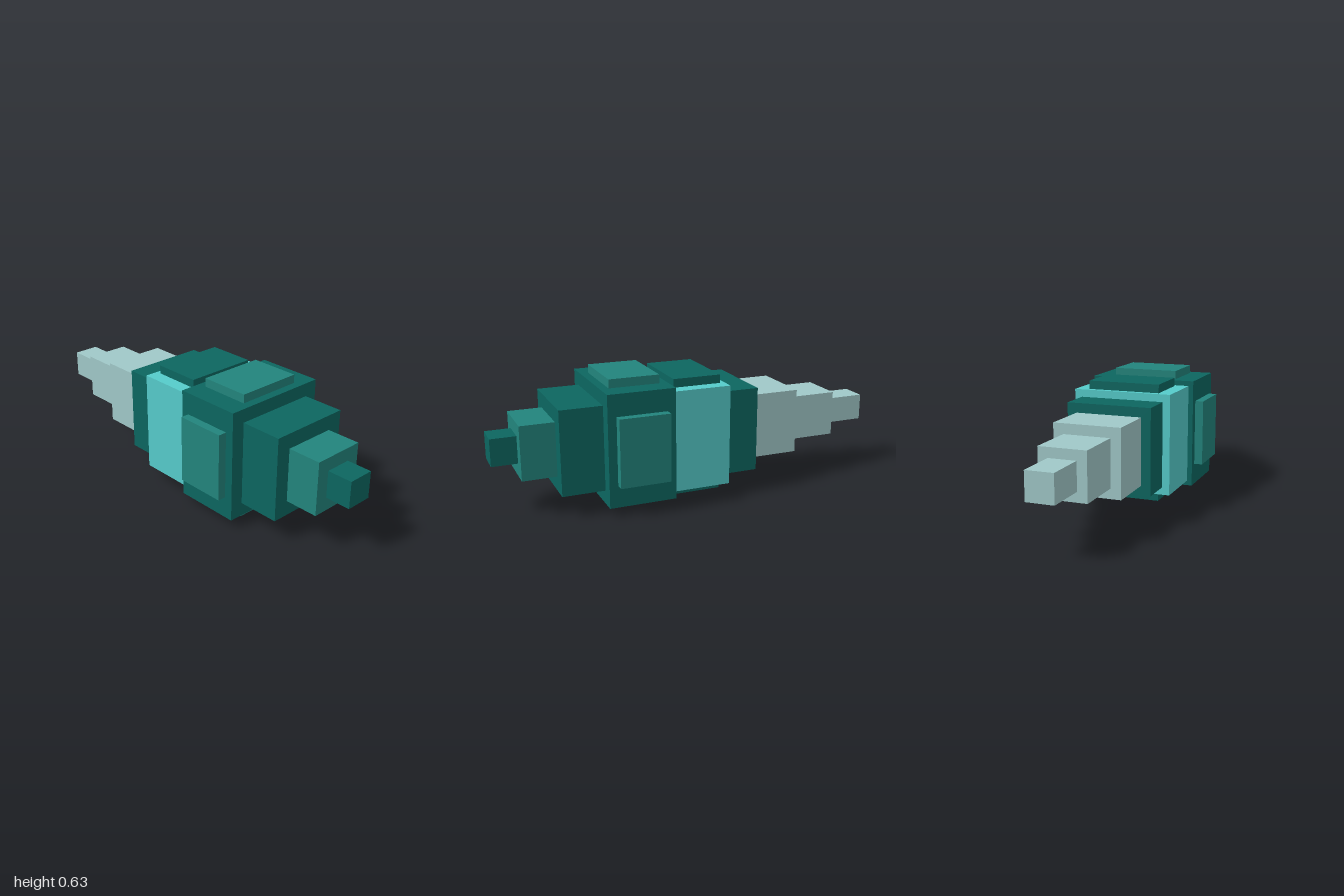
import * as THREE from 'three';

const material = (name, color) => Object.assign(new THREE.MeshStandardMaterial({ color }), { name });

export function createModel() {
  const dark = material('dark teal', 0x0c6660);
  const mid = material('mid teal', 0x22847c);
  const bright = material('bright turquoise', 0x55cbca);
  const pale = material('pale aqua', 0xa0c8c8);

  const model = new THREE.Group();
  model.name = 'steppedBody';
  const centerY = 0.3175;

  // Box given by half sizes in x and y, a z range, and an offset from the axis
  function block(name, mat, hx, hy, zBack, zFront, x = 0, y = 0) {
    const mesh = new THREE.Mesh(new THREE.BoxGeometry(hx * 2, hy * 2, zFront - zBack), mat);
    mesh.name = name;
    mesh.position.set(x, centerY + y, (zBack + zFront) / 2);
    model.add(mesh);
  }

  // Square segments along the body, from nose to tail tip
  const segments = [
    ['noseTip', dark, 0.067, 0.875, 1],
    ['snout', mid, 0.133, 0.708, 0.875],
    ['head', dark, 0.208, 0.5, 0.708],
    ['chest', dark, 0.275, 0.167, 0.5],
    ['waistBand', bright, 0.25, -0.125, 0.167],
    ['hip', dark, 0.2125, -0.292, -0.125],
    ['tailBase', pale, 0.165, -0.542, -0.292],
    ['tailMiddle', pale, 0.115, -0.792, -0.542],
    ['tailTip', pale, 0.067, -1, -0.792],
  ];
  for (const [name, mat, half, zBack, zFront] of segments) block(name, mat, half, half, zBack, zFront);

  // Raised plates: four around the chest, two on the waist band
  for (const s of [1, -1]) {
    block(s > 0 ? 'chestPlateTop' : 'chestPlateBottom', mid, 0.167, 0.0263, 0.208, 0.458, 0, s * 0.2912);
    block(s > 0 ? 'chestPlateLeft' : 'chestPlateRight', mid, 0.0263, 0.167, 0.208, 0.458, s * 0.2912, 0);
    block(s > 0 ? 'waistPlateTop' : 'waistPlateBottom', dark, 0.183, 0.026, -0.1, 0.142, 0, s * 0.266);
  }
  return model;
}
